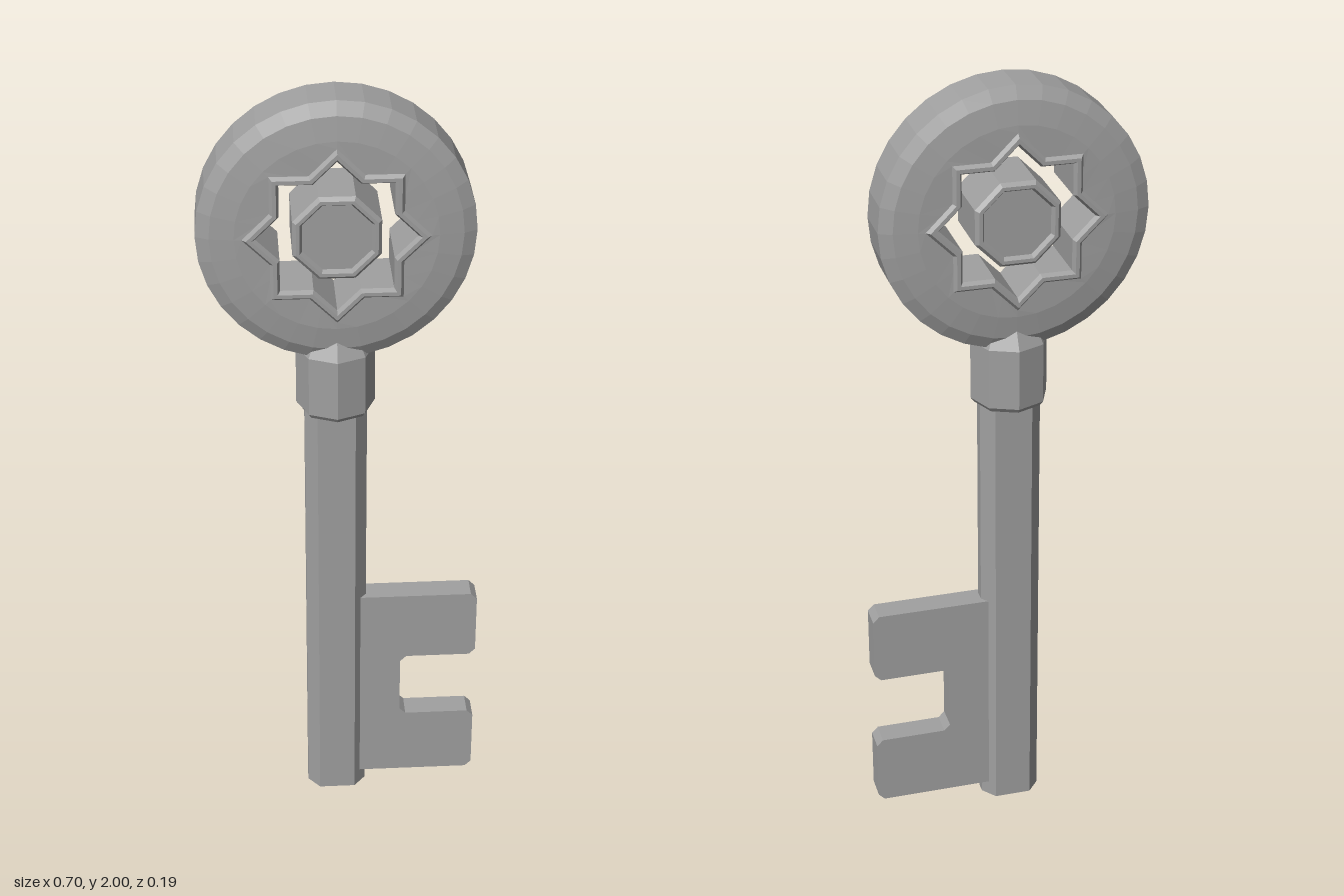
import * as THREE from 'three';

const material = new THREE.MeshStandardMaterial({ color: 0xa0a0a0, flatShading: true });
const AXIS_X = -0.018; // centre line of the shaft and bow
const BOW_Y = 1.67;

function addPart(group, name, geometry, x = 0, y = 0, z = 0) {
  const mesh = new THREE.Mesh(geometry, material);
  mesh.name = name;
  mesh.position.set(x, y, z);
  group.add(mesh);
  return mesh;
}

// Radius functions of the two outlines of the bow
const circle = (R) => () => R;
const star = (R) => (angle) => {
  const step = Math.PI / 4;
  const a = angle % step;
  return R * Math.SQRT1_2 / Math.cos(step - Math.min(a, step - a));
};

// Closed ring lofted through outlines [radius function, z]
function ringGeometry(profile, segments) {
  const n = profile.length;
  const positions = [];
  const index = [];
  for (const [radius, z] of profile) {
    for (let j = 0; j < segments; j++) {
      const a = (j / segments) * Math.PI * 2;
      const r = radius(a);
      positions.push(r * Math.cos(a), r * Math.sin(a), z);
    }
  }
  for (let i = 0; i < n; i++) {
    for (let j = 0; j < segments; j++) {
      const i2 = (i + 1) % n, j2 = (j + 1) % segments;
      const a = i * segments + j, b = i2 * segments + j;
      const c = i2 * segments + j2, d = i * segments + j2;
      index.push(a, b, c, a, c, d);
    }
  }
  const geometry = new THREE.BufferGeometry();
  geometry.setAttribute('position', new THREE.Float32BufferAttribute(positions, 3));
  geometry.setIndex(index);
  const flat = geometry.toNonIndexed();
  flat.computeVertexNormals();
  return flat;
}

function latheGeometry(points, phiStart = 0) {
  return new THREE.LatheGeometry(points.map(([r, y]) => new THREE.Vector2(r, y)), 8, phiStart);
}

function shapeFrom(points) {
  return new THREE.Shape(points.map(([x, y]) => new THREE.Vector2(x, y)));
}

export function createModel() {
  const key = new THREE.Group();
  key.name = 'key';

  // Round bow with a raised frame around the star-shaped opening
  const front = [
    [star(0.19), 0.078], [star(0.199), 0.09], [star(0.212), 0.09], [star(0.222), 0.08],
    [circle(0.24), 0.079], [circle(0.298), 0.071], [circle(0.33), 0.055],
  ];
  const back = front.map(([radius, z]) => [radius, -z]).reverse();
  addPart(key, 'bow', ringGeometry([...front, ...back], 32), AXIS_X, BOW_Y);

  // Octagonal hub in the middle of the opening, rimmed on both faces
  const hubSide = [[0, 0.078], [0.088, 0.078], [0.095, 0.09], [0.104, 0.09], [0.113, 0.08]];
  const hubProfile = [...hubSide.map(([r, y]) => [r, -y]), ...hubSide.slice().reverse()];
  const hub = addPart(key, 'hub', latheGeometry(hubProfile, Math.PI / 8), AXIS_X, BOW_Y);
  hub.rotation.x = Math.PI / 2;

  // Octagonal collar with a tapered top
  addPart(key, 'collar', latheGeometry([
    [0, 1.178], [0.088, 1.178], [0.097, 1.19], [0.097, 1.345], [0.06, 1.415], [0, 1.415],
  ]), AXIS_X);

  // Flattened eight-sided shaft
  const shaftShape = shapeFrom([
    [0.077, -0.014], [0.077, 0.014], [0.047, 0.05], [-0.047, 0.05],
    [-0.077, 0.014], [-0.077, -0.014], [-0.047, -0.05], [0.047, -0.05],
  ]);
  const shaftGeometry = new THREE.ExtrudeGeometry(shaftShape, { depth: 1.22, bevelEnabled: false });
  shaftGeometry.rotateX(-Math.PI / 2);
  addPart(key, 'shaft', shaftGeometry, AXIS_X);

  // Two-toothed bit with clipped corners
  const c = 0.016;
  const right = 0.348;
  const bitShape = shapeFrom([
    [0, 0.04], [right - c, 0.04], [right, 0.04 + c], [right, 0.23 - c], [right - c, 0.23],
    [0.15 + c, 0.23], [0.15, 0.23 + c], [0.15, 0.42 - c], [0.15 + c, 0.42],
    [right - c, 0.42], [right, 0.42 + c], [right, 0.613 - c], [right - c, 0.613], [0, 0.613],
  ]);
  addPart(key, 'bit', new THREE.ExtrudeGeometry(bitShape, { depth: 0.064, bevelEnabled: false }), 0, 0, -0.032);

  return key;
}
